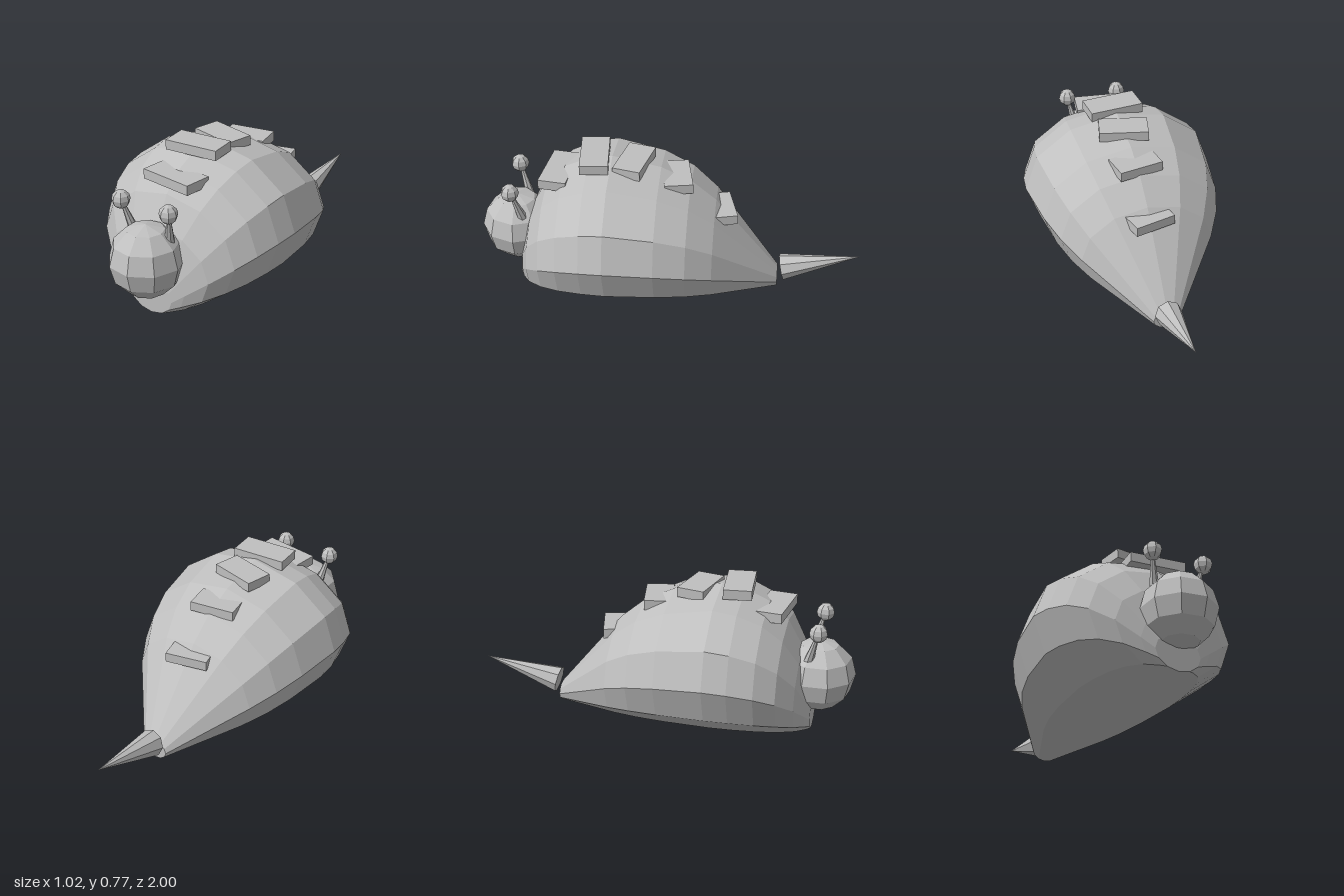
import * as THREE from 'three';

const V = (x, y, z) => new THREE.Vector3(x, y, z);

// Body: twelve-sided elliptical rings, all resting on the ground
function bodyGeometry() {
  const rings = [ // z, half width
    [0.79, 0.125], [0.77, 0.19], [0.725, 0.3], [0.645, 0.397], [0.545, 0.46],
    [0.42, 0.497], [0.3, 0.511], [0.05, 0.475], [-0.105, 0.425],
    [-0.235, 0.35], [-0.57, 0.07],
  ];
  const n = 12, pos = [], index = [];
  for (const [z, rx] of rings) {
    const ry = rx * 0.735;
    for (let i = 0; i < n; i++) {
      const a = (i / n) * Math.PI * 2;
      pos.push(rx * Math.cos(a), ry + ry * Math.sin(a), z);
    }
  }
  for (let r = 0; r < rings.length - 1; r++) {
    for (let i = 0; i < n; i++) {
      const a = r * n + i, b = r * n + (i + 1) % n;
      index.push(a, a + n, b, b, a + n, b + n);
    }
  }
  // End caps
  const last = (rings.length - 1) * n;
  for (let i = 1; i < n - 1; i++) {
    index.push(0, i, i + 1, last, last + i + 1, last + i);
  }
  const g = new THREE.BufferGeometry();
  g.setAttribute('position', new THREE.Float32BufferAttribute(pos, 3));
  g.setIndex(index);
  g.computeVertexNormals();
  return g;
}

export function createModel() {
  const model = new THREE.Group();
  model.name = 'snailCreature';
  const grey = new THREE.MeshStandardMaterial({ color: 0xbfbfbf, flatShading: true });
  grey.name = 'stoneGrey';

  const add = (name, geometry, position) => {
    const mesh = new THREE.Mesh(geometry, grey);
    mesh.name = name;
    if (position) mesh.position.copy(position);
    model.add(mesh);
    return mesh;
  };

  // Tapered round bar between two points
  const taper = (name, from, to, r0, r1, sides) => {
    const dir = to.clone().sub(from);
    const mesh = add(name, new THREE.CylinderGeometry(r1, r0, dir.length(), sides),
      from.clone().add(to).multiplyScalar(0.5));
    mesh.quaternion.setFromUnitVectors(V(0, 1, 0), dir.normalize());
    return mesh;
  };

  add('body', bodyGeometry());

  // Head
  add('head', new THREE.SphereGeometry(0.189, 9, 6), V(0, 0.303, 0.812)).rotation.y = Math.PI;

  // Eyes on stalks
  for (const [side, s] of [['left', 1], ['right', -1]]) {
    taper(side + 'EyeStalk', V(s * 0.108, 0.41, 0.767), V(s * 0.14, 0.565, 0.808), 0.026, 0.009, 7);
    add(side + 'Eye', new THREE.SphereGeometry(0.047, 7, 6),
      V(s * 0.143, 0.586, 0.815)).rotation.y = Math.PI;
  }

  // Tail spike
  taper('tail', V(0, 0.105, -0.592), V(0, 0.2, -1), 0.071, 0, 8);

  // Back plates: x, y, z, width, turn
  const plates = [
    [0.003, 0.646, 0.576, 0.295, -0.127],
    [0, 0.748, 0.39, 0.285, 0.09],
    [0, 0.723, 0.188, 0.255, -0.23],
    [0, 0.643, -0.03, 0.237, 0.18],
    [0, 0.459, -0.255, 0.222, 0.245],
  ];
  plates.forEach(([x, y, z, w, turn], i) => {
    add('backPlate' + (i + 1), new THREE.BoxGeometry(w, 0.051, 0.145), V(x, y, z)).rotation.y = turn;
  });

  return model;
}
